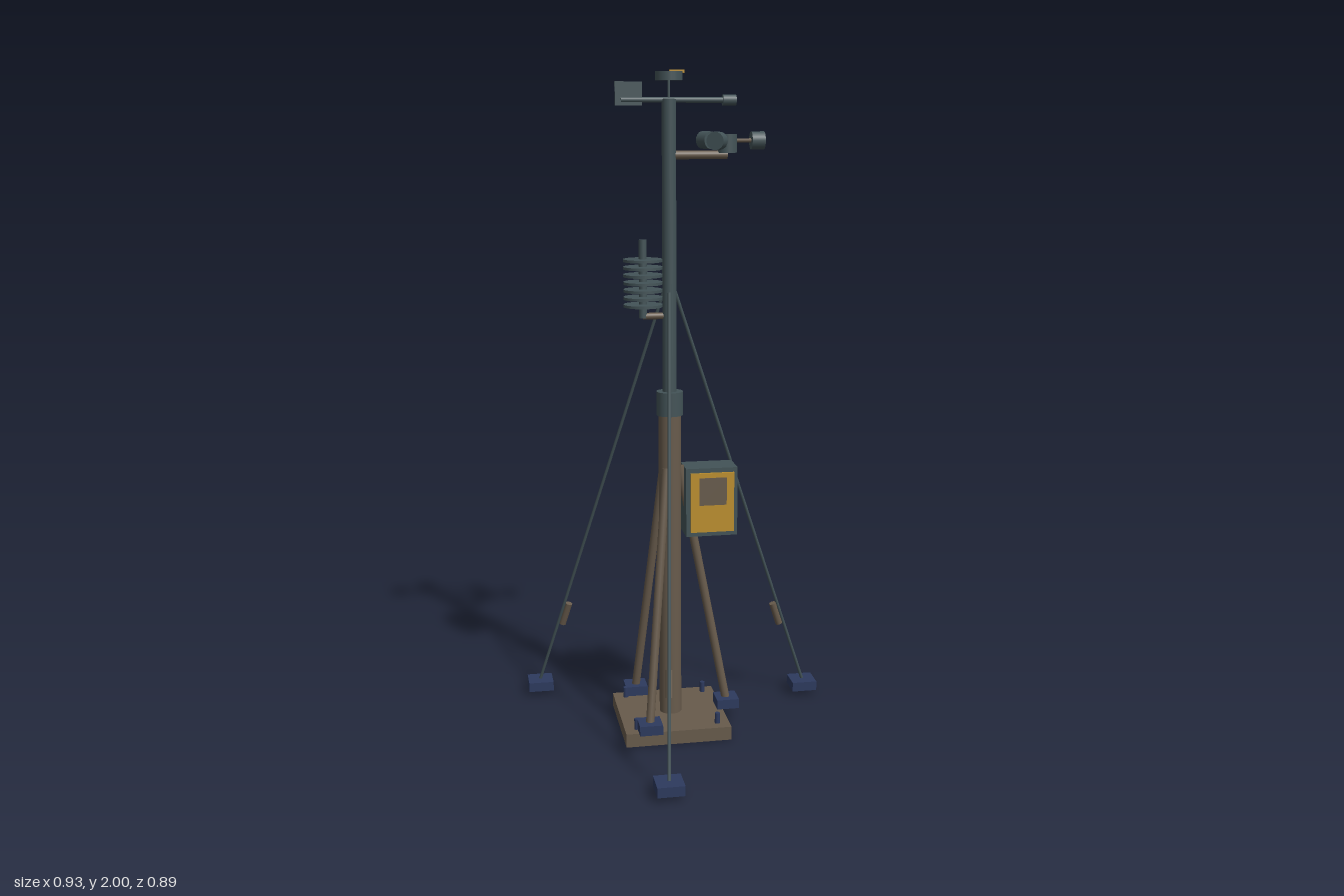
import * as THREE from 'three';

const mat = (name, color) => {
  const m = new THREE.MeshStandardMaterial({ color });
  m.name = name;
  return m;
};

export function createModel() {
  const slate = mat('slate', 0x435357);
  const brown = mat('brown', 0x685b4c);
  const navy = mat('navy', 0x2d3a5e);
  const yellow = mat('yellow', 0xbd902e);

  const model = new THREE.Group();
  model.name = 'weatherStation';

  // everything hangs off the mast axis
  const station = new THREE.Group();
  station.name = 'station';
  station.position.set(-0.046, 0, -0.086);
  model.add(station);

  const V = (x, y, z) => new THREE.Vector3(x, y, z);
  const polar = (r, y, deg) => {
    const a = THREE.MathUtils.degToRad(deg);
    return V(r * Math.cos(a), y, r * Math.sin(a));
  };
  const add = (name, geometry, material, parent = station) => {
    const mesh = new THREE.Mesh(geometry, material);
    mesh.name = name;
    parent.add(mesh);
    return mesh;
  };
  const box = (name, material, w, h, d, x, y, z) => {
    const mesh = add(name, new THREE.BoxGeometry(w, h, d), material);
    mesh.position.set(x, y, z);
    return mesh;
  };
  // cylinder running from point a to point b
  const rod = (name, material, a, b, radius, sides = 16) => {
    const dir = b.clone().sub(a);
    const mesh = add(name, new THREE.CylinderGeometry(radius, radius, dir.length(), sides), material);
    mesh.position.copy(a).add(b).multiplyScalar(0.5);
    mesh.quaternion.setFromUnitVectors(V(0, 1, 0), dir.normalize());
    return mesh;
  };
  const post = (name, material, y0, y1, radius, x = 0, z = 0, sides = 24) =>
    rod(name, material, V(x, y0, z), V(x, y1, z), radius, sides);

  // base plate with corner bolts
  box('basePlate', brown, 0.324, 0.042, 0.324, 0, 0.021, 0);
  for (const x of [-0.125, 0.125])
    for (const z of [-0.125, 0.125]) post('baseBolt', navy, 0.04, 0.075, 0.008, x, z, 10);

  // telescoping mast
  post('lowerMast', brown, 0.04, 1.0, 0.034);
  post('mastCollar', slate, 0.99, 1.062, 0.04);
  post('upperMast', slate, 1.0, 1.918, 0.021);

  // tripod struts and feet
  for (const deg of [0, 120, 240]) {
    rod('strut', brown, polar(0.178, 0.06, deg), polar(0.03, 0.83, deg), 0.013, 12);
    const p = polar(0.178, 0.06, deg);
    box('strutFoot', navy, 0.07, 0.03, 0.07, p.x, p.y, p.z);
  }

  // guy wires with turnbuckles and ground anchors
  for (const deg of [-20, 100, 220]) {
    const top = polar(0.02, 1.36, deg);
    const foot = polar(0.5, 0.045, deg);
    rod('guyWire', slate, top, foot, 0.005, 8);
    const along = foot.clone().sub(top).normalize().multiplyScalar(0.039);
    const mid = polar(0.393, 0.29, deg);
    rod('turnbuckle', brown, mid.clone().sub(along), mid.clone().add(along), 0.011, 8);
    box('groundAnchor', navy, 0.08, 0.03, 0.08, foot.x, 0.03, foot.z);
  }

  // instrument cabinet with door and display
  box('cabinet', slate, 0.158, 0.212, 0.095, 0.121, 0.724, 0);
  box('cabinetDoor', yellow, 0.133, 0.184, 0.008, 0.122, 0.724, 0.0505);
  box('displayPanel', brown, 0.084, 0.085, 0.003, 0.123, 0.759, 0.0555);

  // radiation shield: stacked plates on a post
  const shieldX = -0.079;
  rod('shieldBracket', brown, V(shieldX, 1.29, 0), V(0, 1.29, 0), 0.01, 12);
  post('shieldPost', slate, 1.285, 1.515, 0.012, shieldX, 0, 16);
  for (let i = 0; i < 7; i++) {
    const y = 1.322 + i * 0.0222;
    post('shieldPlate', slate, y - 0.004, y + 0.004, 0.058, shieldX);
  }

  // cup anemometer on a side arm
  const hubX = 0.172;
  rod('anemometerArm', brown, V(0, 1.759, 0), V(hubX, 1.759, 0), 0.0125);
  post('anemometerHub', slate, 1.765, 1.818, 0.029, hubX);
  for (const deg of [0, 120, 240]) {
    const at = (r) => polar(r, 1.8, deg).add(V(hubX, 0, 0));
    rod('cupRod', brown, at(0), at(0.08), 0.006, 8);
    rod('cup', slate, at(0.071), at(0.11), 0.026, 16);
  }

  // wind vane
  rod('vaneRod', slate, V(-0.14, 1.915, 0), V(0.17, 1.915, 0), 0.008, 12);
  rod('vaneCounterweight', slate, V(0.158, 1.915, 0), V(0.197, 1.915, 0), 0.016);
  box('vaneFin', slate, 0.078, 0.067, 0.01, -0.118, 1.933, 0);

  // top sensor disc with heading marker
  post('sensorStem', slate, 1.91, 1.975, 0.004, 0, 0, 8);
  post('sensorDisc', slate, 1.97, 1.995, 0.039);
  box('headingMarker', yellow, 0.044, 0.009, 0.008, 0.023, 1.9955, 0);

  return model;
}
